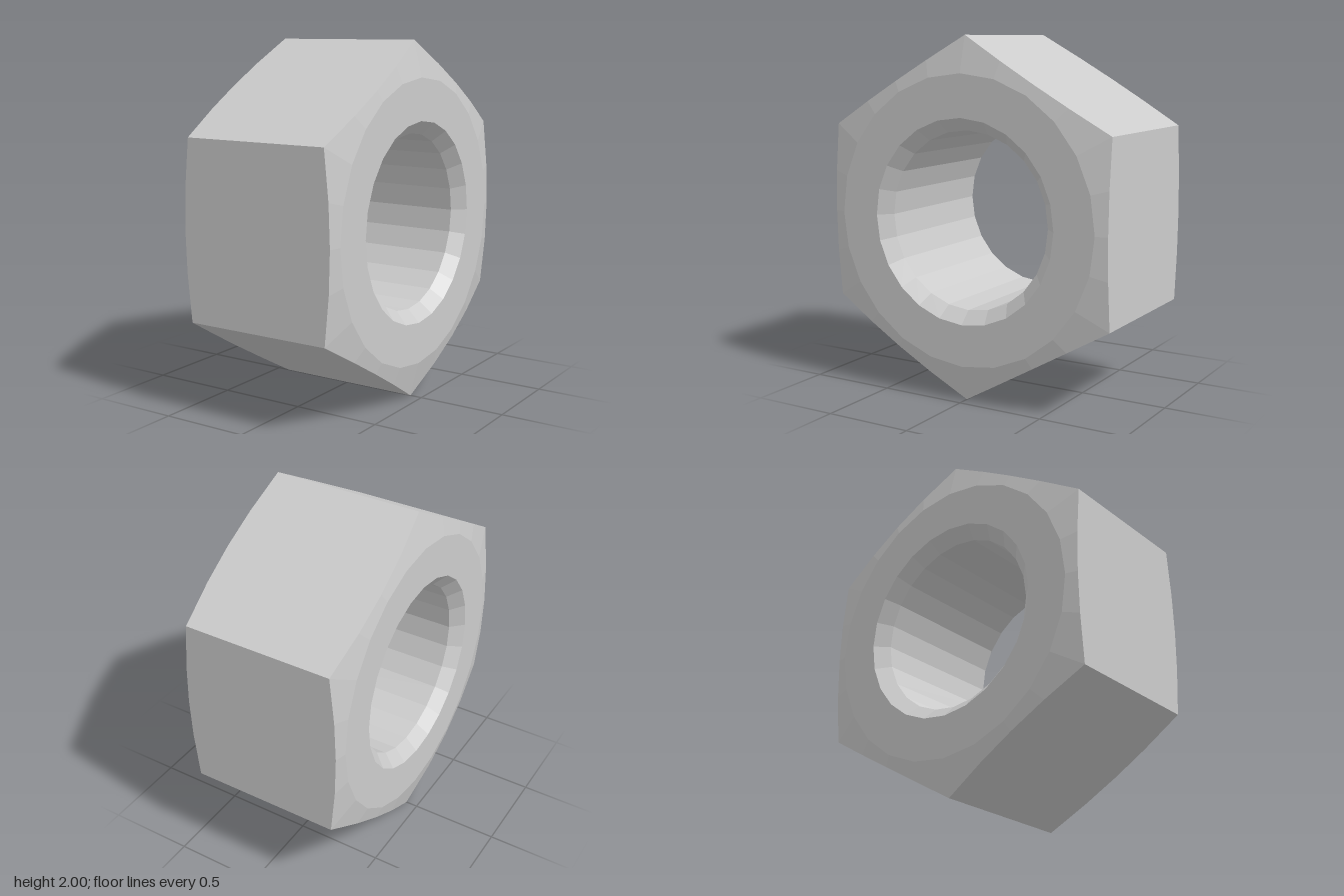
import * as THREE from 'three';

const SEGMENTS = 24;
const FACE_X = 0.48, FACE_R = 0.8;        // flat end faces
const BORE_R = 0.495, RIM_R = 0.565;      // hole and its countersink
const APOTHEM = Math.sqrt(3) / 2;         // hexagon with corner radius 1
const CHAMFER_SLOPE = 0.25;               // conical cut on the corners

const round = (r, x) => () => [r, x];

// Hexagon outline where the conical chamfer meets the side flats
const hexEdge = (side) => (a) => {
  const r = APOTHEM / Math.cos((a % (Math.PI / 3)) - Math.PI / 6);
  return [r, side * (FACE_X - CHAMFER_SLOPE * (r - FACE_R))];
};

// Flat-shaded surface through successive rings around the x axis
function ringSurface(name, rings, material) {
  const point = (ring, j) => {
    const a = ((j % SEGMENTS) / SEGMENTS) * Math.PI * 2;
    const [r, x] = ring(a);
    return [x, 1 + r * Math.cos(a), r * Math.sin(a)];
  };
  const positions = [];
  for (let i = 0; i < rings.length - 1; i++) {
    for (let j = 0; j < SEGMENTS; j++) {
      const a = point(rings[i], j), b = point(rings[i], j + 1);
      const c = point(rings[i + 1], j), d = point(rings[i + 1], j + 1);
      positions.push(...a, ...b, ...c, ...b, ...d, ...c);
    }
  }
  const geometry = new THREE.BufferGeometry();
  geometry.setAttribute('position', new THREE.Float32BufferAttribute(positions, 3));
  geometry.computeVertexNormals();
  const mesh = new THREE.Mesh(geometry, material);
  mesh.name = name;
  return mesh;
}

export function createModel() {
  const group = new THREE.Group();
  group.name = 'hexNut';
  const material = new THREE.MeshStandardMaterial({ color: 0xcccccc, flatShading: true });

  const rim = (side) => round(RIM_R, side * FACE_X);
  const face = (side) => round(FACE_R, side * FACE_X);
  const throat = (side) => round(BORE_R, side * (FACE_X - (RIM_R - BORE_R)));

  group.add(
    // six side flats
    ringSurface('sideFlats', [hexEdge(-1), hexEdge(1)], material),
    // chamfered corners and flat annulus on each end
    ringSurface('leftEndFace', [hexEdge(1), face(1), rim(1)], material),
    ringSurface('rightEndFace', [rim(-1), face(-1), hexEdge(-1)], material),
    // hole with a countersink at both ends
    ringSurface('bore', [rim(1), throat(1), throat(-1), rim(-1)], material),
  );
  return group;
}
